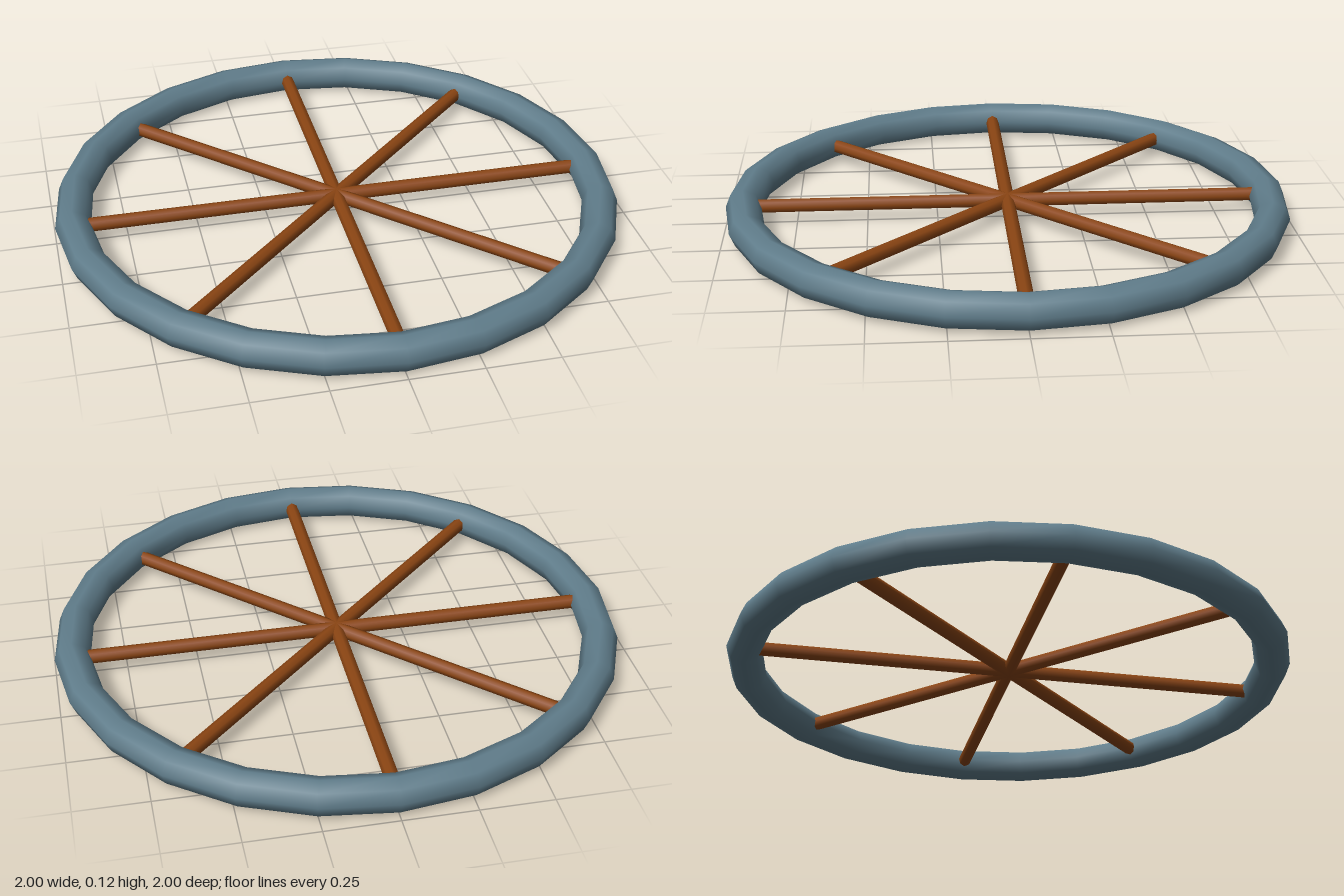
import * as THREE from 'three';

const RING_RADIUS = 0.9375;
const TUBE_RADIUS = 0.0625;
const SPOKES = 8;

export function createModel() {
  const wheel = new THREE.Group();
  wheel.name = 'wheel';
  const rimMaterial = new THREE.MeshStandardMaterial({ color: 0x607d8b });
  const woodMaterial = new THREE.MeshStandardMaterial({ color: 0x8b4513 });

  // Rim lying flat on the ground
  const rim = new THREE.Mesh(new THREE.TorusGeometry(RING_RADIUS, TUBE_RADIUS, 8, 24), rimMaterial);
  rim.name = 'rim';
  rim.rotation.x = Math.PI / 2;
  rim.position.y = TUBE_RADIUS;
  wheel.add(rim);

  // Spokes from the centre into the middle of the rim tube
  const spokeGeometry = new THREE.CylinderGeometry(0.025, 0.025, RING_RADIUS, 8);
  spokeGeometry.rotateZ(Math.PI / 2);
  spokeGeometry.translate(RING_RADIUS / 2, 0, 0);
  for (let i = 0; i < SPOKES; i++) {
    const spoke = new THREE.Mesh(spokeGeometry, woodMaterial);
    spoke.name = `spoke${i + 1}`;
    spoke.rotation.y = (i / SPOKES) * Math.PI * 2;
    spoke.position.y = TUBE_RADIUS;
    wheel.add(spoke);
  }
  return wheel;
}
